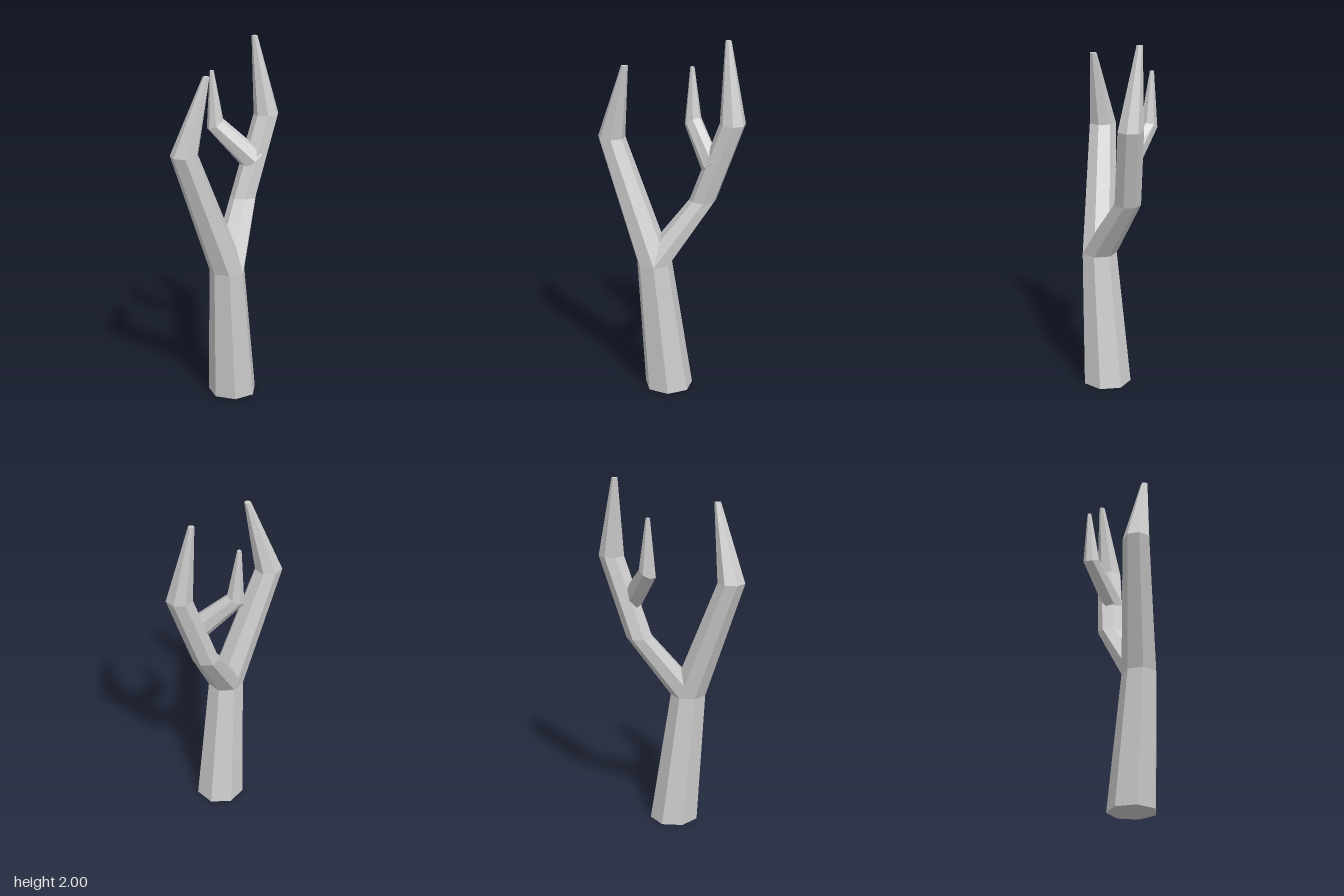
import * as THREE from 'three';

const SIDES = 7;

// One heptagonal cross-section; tiltX and tiltZ slope the ring's plane
function ringPoints({ at: [x, y, z], r, tiltX = 0, tiltZ = 0 }) {
  return Array.from({ length: SIDES }, (_, i) => {
    const a = (i / SIDES) * Math.PI * 2;
    const dx = Math.sin(a) * r, dz = -Math.cos(a) * r;
    return [x + dx, y + dx * tiltX + dz * tiltZ, z + dz];
  });
}

// Faceted limb through a list of rings from bottom to top, with optional end caps
function limb(name, rings, material, capBottom, capTop) {
  const loops = rings.map(ringPoints);
  const last = loops.length - 1;
  const pos = [];
  const tri = (a, b, c) => pos.push(...a, ...b, ...c);
  for (let i = 0; i < SIDES; i++) {
    const j = (i + 1) % SIDES;
    for (let k = 0; k < last; k++) {
      const lo = loops[k], hi = loops[k + 1];
      tri(lo[j], lo[i], hi[i]);
      tri(lo[j], hi[i], hi[j]);
    }
    if (capBottom) tri(rings[0].at, loops[0][i], loops[0][j]);
    if (capTop) tri(rings[last].at, loops[last][j], loops[last][i]);
  }
  const geometry = new THREE.BufferGeometry();
  geometry.setAttribute('position', new THREE.Float32BufferAttribute(pos, 3));
  geometry.computeVertexNormals();
  const mesh = new THREE.Mesh(geometry, material);
  mesh.name = name;
  return mesh;
}

export function createModel() {
  const group = new THREE.Group();
  group.name = 'bareTree';
  const bark = new THREE.MeshStandardMaterial({ color: 0xcccccc, flatShading: true });

  // Both main branches grow from the ring at the top of the trunk
  const fork = { at: [0.046, 0.76, 0.105], r: 0.1 };

  group.add(
    limb('trunk', [{ at: [0.05, 0, 0.025], r: 0.137 }, fork], bark, true, false),
    limb('frontBranch', [
      fork,
      { at: [-0.123, 1.45, 0.312], r: 0.077 },
      { at: [-0.02, 1.87, 0.25], r: 0.019 },
    ], bark, false, true),
    limb('backBranch', [
      fork,
      { at: [0.048, 1.11, -0.168], r: 0.075 },
      { at: [0.133, 1.56, -0.31], r: 0.072 },
      { at: [0.065, 2, -0.295], r: 0.017 },
    ], bark, false, true),
    // Small side branch leaving the back branch
    limb('sideBranch', [
      { at: [0.095, 1.31, -0.207], r: 0.052, tiltX: 0.9, tiltZ: -0.3 },
      { at: [-0.112, 1.52, -0.142], r: 0.047, tiltX: 0.45, tiltZ: -0.35 },
      { at: [-0.131, 1.82, -0.141], r: 0.012 },
    ], bark, true, true),
  );
  return group;
}
